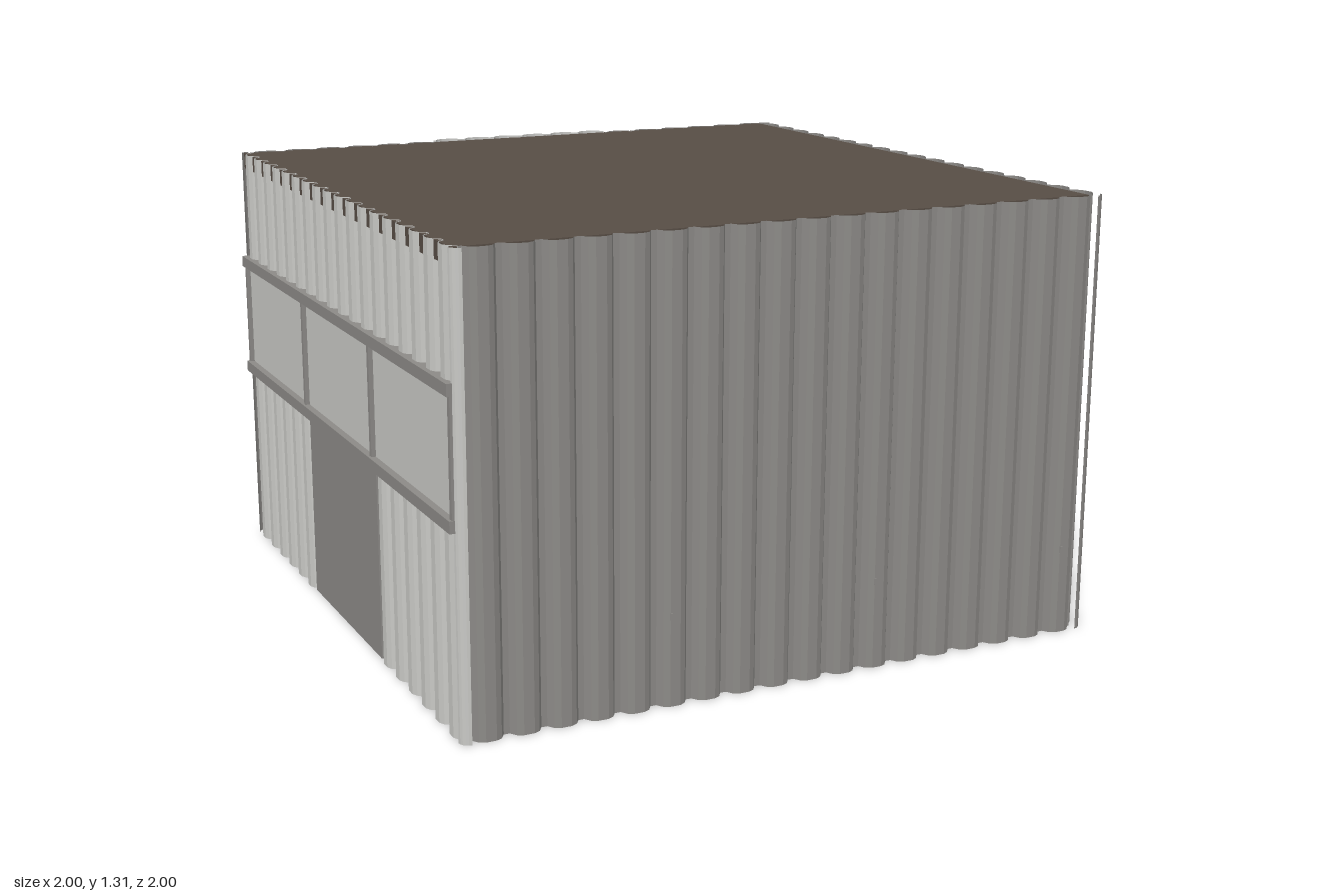
import * as THREE from 'three';

const mat = (name, color, side = THREE.FrontSide) => {
  const m = new THREE.MeshStandardMaterial({ color, side });
  m.name = name;
  return m;
};

export function createModel() {
  const grey = mat('grey metal', 0x8c8a87, THREE.DoubleSide);
  const light = mat('light metal', 0xc8c8c5, THREE.DoubleSide);
  const brown = mat('brown roof', 0x574d45);

  const V = 0.965;            // distance of the corrugation valleys from the centre
  const AMP = 0.0275;         // corrugation depth
  const P = (2 * V) / 3;      // width of one panel
  const H = 1.31;

  const model = new THREE.Group();
  model.name = 'corrugatedHut';

  const add = (parent, name, geometry, material, x = 0, y = 0, z = 0) => {
    const mesh = new THREE.Mesh(geometry, material);
    mesh.name = name;
    mesh.position.set(x, y, z);
    parent.add(mesh);
    return mesh;
  };
  const box = (parent, name, material, w, h, d, x, y, z) =>
    add(parent, name, new THREE.BoxGeometry(w, h, d), material, x, y, z);

  // Vertical sheet standing on a plan polyline of [x, z] points
  const sheet = (points, y0, y1) => {
    const pos = [];
    for (let i = 0; i < points.length - 1; i++) {
      const [ax, az] = points[i], [bx, bz] = points[i + 1];
      pos.push(ax, y0, az, bx, y0, bz, bx, y1, bz, ax, y0, az, bx, y1, bz, ax, y1, az);
    }
    const g = new THREE.BufferGeometry();
    g.setAttribute('position', new THREE.Float32BufferAttribute(pos, 3));
    g.computeVertexNormals();
    return g;
  };

  // One panel: six rounded ribs separated by narrow valleys
  const rib = [[0, 0], [0.08, 0], [0.2, 0.7], [0.36, 1], [0.64, 1], [0.8, 0.7], [0.92, 0]];
  const profile = [];
  for (let k = 0; k < 6; k++) {
    for (const [t, d] of rib) profile.push([((k + t) / 6 - 0.5) * P, d * AMP]);
  }
  profile.push([P / 2, 0]);

  const panel = (wall, name, material, column, y0, y1, out = 0) =>
    add(wall, name, sheet(profile, y0, y1), material, column * P, 0, V + out);

  // Full-height panel with its small bolt
  const fullPanel = (wall, column) => {
    panel(wall, 'wallPanel', grey, column, 0, H);
    box(wall, 'bolt', grey, 0.01, 0.02, 0.02, column * P + 0.257, 0.26, V + 0.02);
  };

  // Walls: local +z points outwards
  const walls = new THREE.Group();
  walls.name = 'walls';
  walls.position.set(0.007, 0, 0.007);
  model.add(walls);
  const makeWall = (name, angle) => {
    const g = new THREE.Group();
    g.name = name;
    g.rotation.y = angle;
    walls.add(g);
    return g;
  };
  const front = makeWall('frontWall', 0);
  const left = makeWall('leftWall', Math.PI / 2);
  const back = makeWall('backWall', Math.PI);
  const right = makeWall('rightWall', -Math.PI / 2);

  for (const c of [-1, 0, 1]) {
    fullPanel(front, c);
    fullPanel(left, c);
  }

  // Back wall with an open hatch in the middle
  fullPanel(back, -1);
  fullPanel(back, 1);
  panel(back, 'hatchSill', light, 0, 0, 0.45, 0.005);
  panel(back, 'hatchHeader', light, 0, 1.03, H + 0.004, 0.012);

  // Right wall: door in the middle, a band of three windows above
  for (const c of [-1, 0, 1]) {
    panel(right, 'upperPanel', light, c, 0.95, H);
    if (c !== 0) panel(right, 'lowerPanel', light, c, 0, 0.59);
    box(right, 'windowPane', light, P, 0.36, 0.012, c * P, 0.77, 0.98);
  }
  box(right, 'door', grey, P, 0.585, 0.02, 0, 0.2925, 0.975);
  for (const y of [0.592, 0.95]) {
    box(right, 'windowRail', grey, 2 * V + 0.015, 0.034, 0.035, 0, y, 0.9895);
  }
  for (const i of [-1.5, -0.5, 0.5, 1.5]) {
    box(right, 'windowPost', grey, 0.016, 0.36, 0.022, i * P * 0.998, 0.771, 0.988);
  }

  // Rounded corners, each at the local +x end of its wall
  const arc = [];
  for (let i = 0; i <= 5; i++) {
    const a = (i / 5) * Math.PI / 2;
    arc.push([V + Math.sin(a) * AMP, V + Math.cos(a) * AMP]);
  }
  for (const wall of [front, left, back, right]) {
    add(wall, 'cornerPost', sheet(arc, 0, H), wall === right ? light : grey);
  }

  // Flat roof set between the walls
  box(model, 'roof', brown, 1.94, 0.05, 1.94, -0.005, 1.283, -0.004);

  return model;
}
